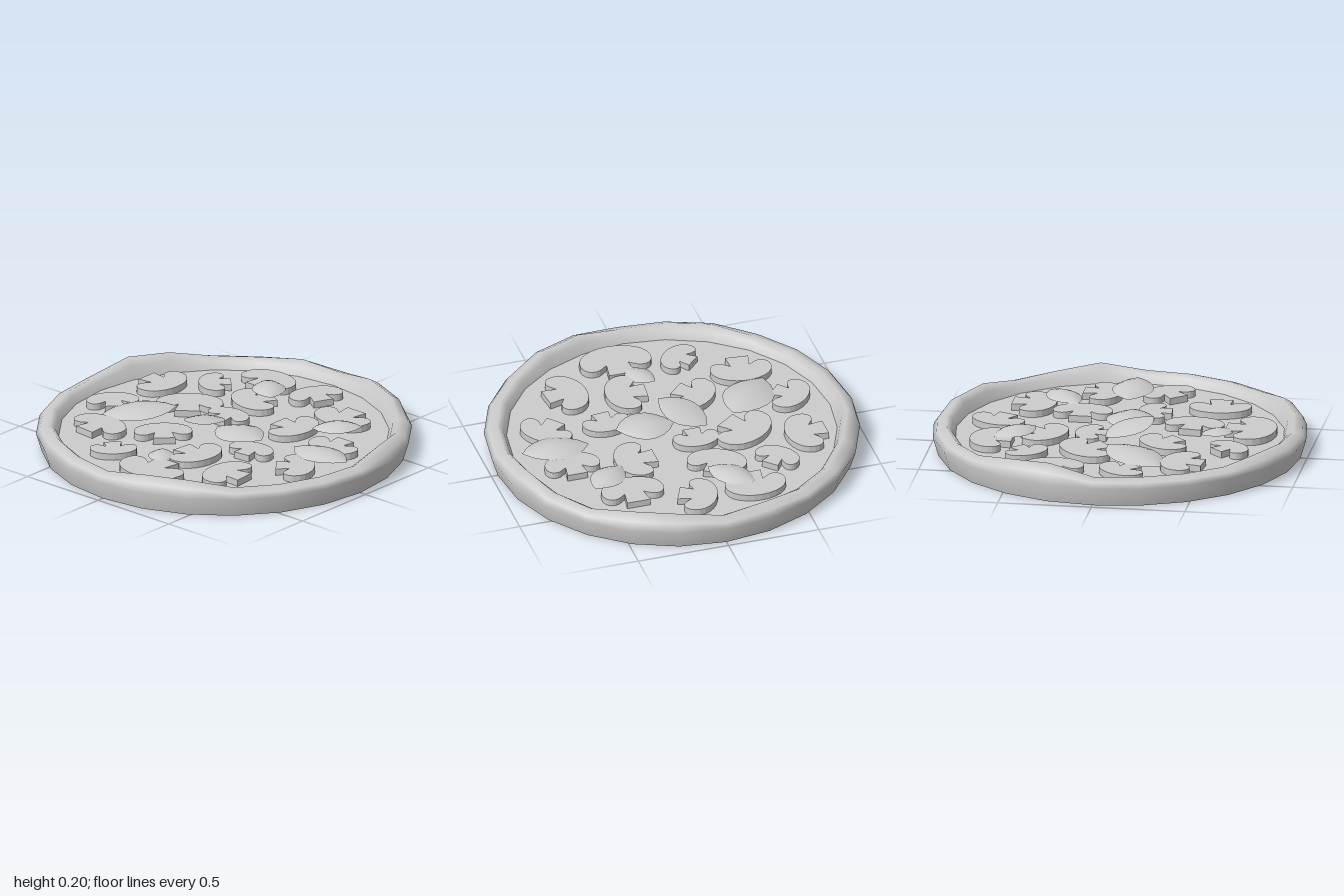
import * as THREE from 'three';
import { mergeVertices } from 'three/addons/utils/BufferGeometryUtils.js';

const SIDES = 24;
const SAUCE_Y = 0.085;
const grey = new THREE.MeshStandardMaterial({ color: 0xcccccc });
const thin = new THREE.MeshStandardMaterial({ color: 0xcccccc, side: THREE.DoubleSide });

function addMesh(parent, name, geometry, material = grey) {
  const mesh = new THREE.Mesh(geometry, material);
  mesh.name = name;
  parent.add(mesh);
  return mesh;
}

// Rounded crust ring; a few spots of the rim puff up higher (index counts from the front towards +x)
function crustGeometry() {
  const puff = {
    1: 0.033, 2: 0.035, 7: 0.04, 8: 0.012, 10: 0.035, 11: 0.035,
    13: 0.02, 16: 0.038, 17: 0.055, 22: 0.02, 23: 0.01,
  };
  const profile = [[0.965, 0], [0.995, 0.1], [0.975, 0.127], [0.925, 0.145], [0.895, 0.125], [0.872, SAUCE_Y - 0.005]]
    .map(([r, y]) => new THREE.Vector2(r, y));
  let geo = new THREE.LatheGeometry(profile, SIDES);
  const pos = geo.attributes.position;
  for (let i = 0; i < pos.count; i++) {
    const spot = Math.floor(i / profile.length) % SIDES;
    const y = pos.getY(i);
    const weight = THREE.MathUtils.clamp((y - 0.1) / 0.045, 0, 1);
    pos.setY(i, y + (puff[spot] || 0) * weight);
  }
  geo.deleteAttribute('uv');
  geo.deleteAttribute('normal');
  geo = mergeVertices(geo, 1e-4);
  geo.computeVertexNormals();
  return geo;
}

// Flat disc whose corners line up with the crust
function disc(radius, y, up) {
  const geo = new THREE.CircleGeometry(radius, SIDES);
  geo.rotateX(up ? -Math.PI / 2 : Math.PI / 2);
  geo.translate(0, y, 0);
  return geo;
}

// Sliced mushroom: cap with two rounded lobes, open notches and a short wide stem (unit cap width)
function mushroomGeometry() {
  const s = new THREE.Shape();
  s.moveTo(-0.19, -0.35);
  s.lineTo(0.19, -0.35);
  s.lineTo(0.15, -0.1);
  s.lineTo(0.27, -0.19);
  s.bezierCurveTo(0.38, -0.24, 0.5, -0.18, 0.5, -0.02);
  s.bezierCurveTo(0.5, 0.2, 0.26, 0.34, 0, 0.34);
  s.bezierCurveTo(-0.26, 0.34, -0.5, 0.2, -0.5, -0.02);
  s.bezierCurveTo(-0.5, -0.18, -0.38, -0.24, -0.27, -0.19);
  s.lineTo(-0.15, -0.1);
  s.closePath();
  const geo = new THREE.ExtrudeGeometry(s, { depth: 0.036, bevelEnabled: false, curveSegments: 6 });
  geo.rotateX(-Math.PI / 2);
  return geo;
}

// Curled leaf between two tips [x, y, z], arched along and across
function leafGeometry(a, b, width, arch) {
  const A = new THREE.Vector3(...a), B = new THREE.Vector3(...b);
  const side = new THREE.Vector3(A.z - B.z, 0, B.x - A.x).normalize();
  const geo = new THREE.PlaneGeometry(1, 1, 8, 6);
  const pos = geo.attributes.position, p = new THREE.Vector3();
  for (let i = 0; i < pos.count; i++) {
    const u = pos.getX(i) + 0.5, v = pos.getY(i) * 2;
    const half = 0.5 * width * Math.pow(Math.sin(Math.PI * u), 0.75);
    p.lerpVectors(A, B, u).addScaledVector(side, half * v);
    p.y += arch * Math.sin(Math.PI * u) * (1 - v * v);
    pos.setXYZ(i, p.x, p.y, p.z);
  }
  geo.computeVertexNormals();
  return geo;
}

export function createModel() {
  const model = new THREE.Group();
  model.name = 'pizza';
  addMesh(model, 'crust', crustGeometry());
  addMesh(model, 'sauce', disc(0.88, SAUCE_Y, true));
  addMesh(model, 'underside', disc(0.965, 0, false));

  // Mushrooms: x, z, cap width, then the stem direction as dx, dz
  const mushrooms = [
    [-0.26, -0.65, 0.33, 0, 1], [0.06, -0.66, 0.30, 0.9, 0.4], [-0.45, -0.43, 0.25, 0.7, -0.7],
    [-0.66, -0.25, 0.32, -1, 0], [-0.13, -0.38, 0.32, 0.4, -0.9], [-0.36, -0.13, 0.36, 0.6, 0.8],
    [0.38, -0.51, 0.34, 0, -1], [0.28, -0.24, 0.32, -1, 0], [0.61, -0.18, 0.30, 0, -1],
    [-0.09, -0.14, 0.25, 0, 1], [-0.69, 0.11, 0.28, 0.7, 0.6], [-0.51, 0.41, 0.33, -0.1, 1],
    [-0.20, 0.26, 0.31, 0.7, 0.7], [0.14, 0.38, 0.32, -1, -0.1], [0.44, 0.47, 0.33, 1, -0.1],
    [-0.23, 0.62, 0.25, -0.6, -0.6], [0.10, 0.69, 0.39, 0, -1], [0.65, 0.16, 0.30, -0.7, 0.6],
    [0.32, 0.14, 0.26, 0.1, 1],
  ];
  const slice = mushroomGeometry();
  for (const [x, z, size, dx, dz] of mushrooms) {
    const mesh = addMesh(model, 'mushroomSlice', slice);
    mesh.position.set(x, SAUCE_Y, z);
    mesh.rotation.y = Math.atan2(dx, dz);
    mesh.scale.set(size, 1, size);
  }

  // Leaves: tip, tip, width, arch
  const leaves = [
    [[-0.34, 0.14, -0.01], [-0.60, 0.11, 0.31], 0.27, 0.03],
    [[-0.26, 0.122, -0.63], [-0.06, 0.13, -0.44], 0.18, 0.03],
    [[0.57, 0.13, -0.46], [0.37, 0.122, -0.28], 0.18, 0.03],
    [[0.47, 0.122, -0.03], [0.84, 0.13, -0.03], 0.22, 0.03],
    [[-0.18, 0.122, -0.05], [0.02, 0.185, 0.18], 0.22, 0.015],
    [[-0.02, 0.122, 0.03], [0.30, 0.13, 0.04], 0.26, 0.03],
    [[-0.04, 0.115, 0.44], [0.08, 0.115, 0.60], 0.14, 0.02],
  ];
  for (const leaf of leaves) addMesh(model, 'leaf', leafGeometry(...leaf), thin);
  return model;
}
